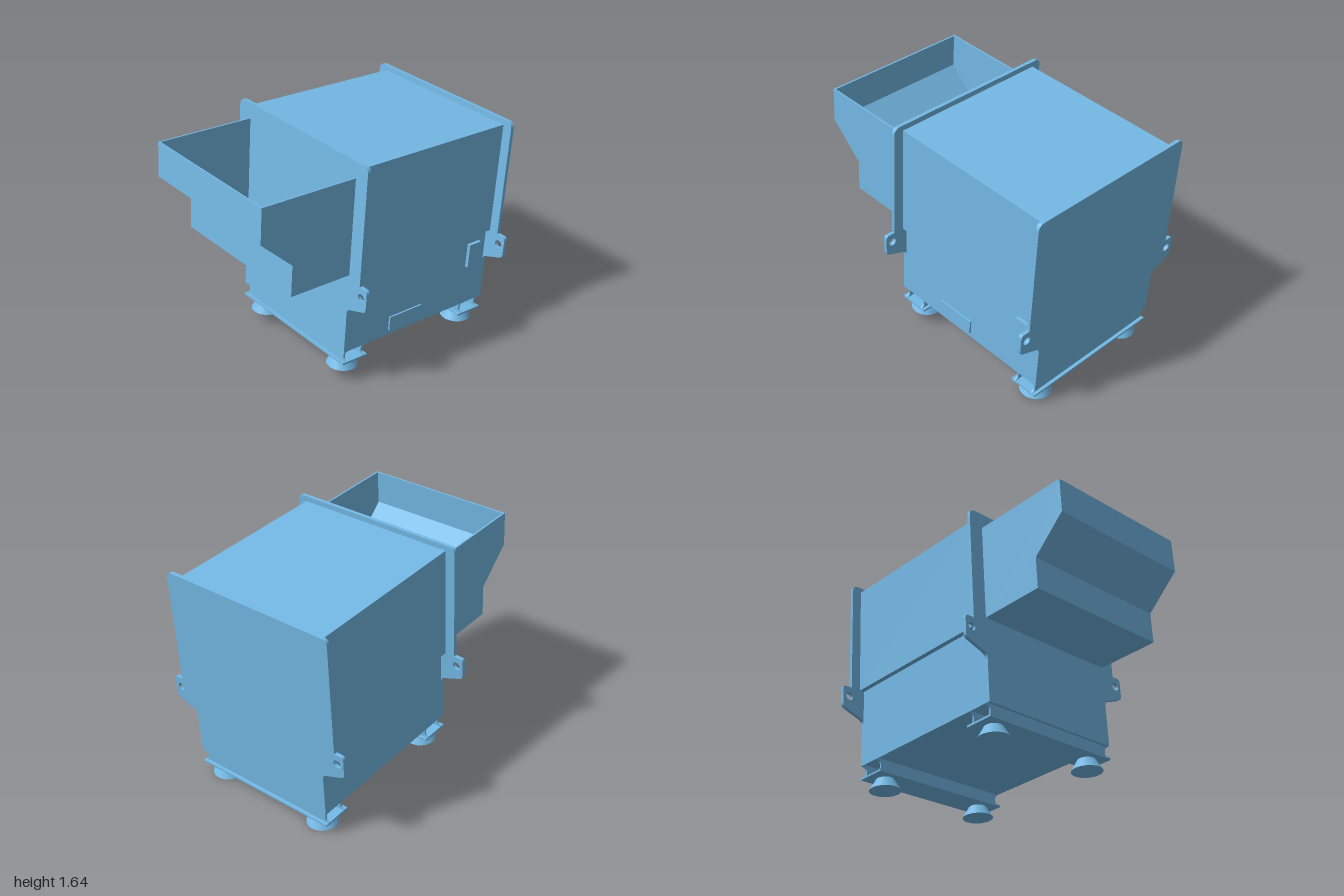
import * as THREE from 'three';

const material = new THREE.MeshStandardMaterial({ color: 0x74b9e6 });

function add(parent, name, geometry, x = 0, y = 0, z = 0) {
  const mesh = new THREE.Mesh(geometry, material);
  mesh.name = name;
  mesh.position.set(x, y, z);
  parent.add(mesh);
  return mesh;
}

// Box given by its limits on each axis
function block(parent, name, [x0, x1], [y0, y1], [z0, z1]) {
  return add(parent, name, new THREE.BoxGeometry(x1 - x0, y1 - y0, z1 - z0),
    (x0 + x1) / 2, (y0 + y1) / 2, (z0 + z1) / 2);
}

// Closed outline through corners [x, y, radius]
function roundedShape(corners) {
  const shape = new THREE.Shape();
  const n = corners.length;
  corners.forEach(([x, y, r = 0], i) => {
    const p = new THREE.Vector2(x, y);
    const toward = (c) => new THREE.Vector2(c[0], c[1]).sub(p).setLength(r).add(p);
    const a = toward(corners[(i + n - 1) % n]);
    const b = toward(corners[(i + 1) % n]);
    if (i === 0) shape.moveTo(a.x, a.y);
    else shape.lineTo(a.x, a.y);
    if (r > 0) shape.quadraticCurveTo(x, y, b.x, b.y);
  });
  shape.closePath();
  return shape;
}

// Right half of an outline, from bottom to top, completed by its mirror image
const mirrored = (half) => [...half, ...half.map(([x, y, r]) => [-x, y, r]).reverse()];

const extrude = (shape, depth) =>
  new THREE.ExtrudeGeometry(shape, { depth, bevelEnabled: false, curveSegments: 8 });

// Profile in (z, y), extruded along x and centred on x
function sideProfile(points, width, x = 0) {
  const shape = new THREE.Shape(points.map(([z, y]) => new THREE.Vector2(z, y)));
  return extrude(shape, width).translate(0, 0, -width / 2).rotateY(-Math.PI / 2).translate(x, 0, 0);
}

export function createModel() {
  const model = new THREE.Group();
  model.name = 'tiltedHopperMachine';
  const machine = new THREE.Group();
  machine.name = 'machine';
  machine.rotation.x = -THREE.MathUtils.degToRad(4); // whole machine leans back
  model.add(machine);

  // Housing: a wide upper part on a narrower base
  block(machine, 'upperHousing', [-0.58, 0.58], [0.795, 1.584], [-0.87, 0.37]);
  block(machine, 'lowerHousing', [-0.545, 0.545], [0.243, 0.795], [-0.87, 0.37]);

  // End plates with lifting ears
  const plate = roundedShape(mirrored([
    [0.545, 0.243], [0.545, 0.575, 0.03], [0.72, 0.64, 0.025],
    [0.72, 0.795, 0.025], [0.65, 0.795], [0.65, 1.622, 0.05],
  ]));
  for (const side of [-1, 1]) {
    plate.holes.push(new THREE.Path().absarc(side * 0.668, 0.725, 0.028, 0, Math.PI * 2, true));
  }
  const plateGeometry = extrude(plate, 0.025);
  add(machine, 'frontPlate', plateGeometry, 0, 0, 0.359);
  add(machine, 'backPlate', plateGeometry, 0, 0, -0.885);

  // Open hopper: two cheeks and one folded sheet
  const t = 0.012;
  const hopper = new THREE.Group();
  hopper.name = 'hopper';
  machine.add(hopper);
  const outer = [[0.384, 0.832], [0.848, 0.832], [0.848, 1.053], [1.093, 1.268], [1.093, 1.512]];
  const inner = [[1.093 - t, 1.512], [1.093 - t, 1.268 + t / 2], [0.848 - t, 1.053 + t / 2],
    [0.848 - t, 0.832 + t], [0.384, 0.832 + t]];
  for (const side of [-1, 1]) {
    add(hopper, 'hopperCheek', sideProfile([...outer, [0.384, 1.512]], t, side * (0.545 - t / 2)));
  }
  add(hopper, 'hopperSheet', sideProfile([...outer, ...inner], 1.09 - 2 * t));

  // Cross channels: two webs with scooped ends above a flange, and two feet each
  const web = extrude(roundedShape(mirrored([
    [0.545, 0.157], [0.52, 0.175, 0.012], [0.52, 0.215, 0.015], [0.545, 0.243],
  ])), 0.014);
  const foot = new THREE.CylinderGeometry(0.062, 0.108, 0.08, 40);
  for (const z of [0.281, -0.781]) {
    const channel = new THREE.Group();
    channel.name = z > 0 ? 'frontChannel' : 'backChannel';
    channel.position.z = z;
    machine.add(channel);
    for (const dz of [-0.075, 0.075]) add(channel, 'channelWeb', web, 0, 0, dz - 0.007);
    block(channel, 'channelFlange', [-0.545, 0.545], [0.143, 0.157], [-0.105, 0.105]);
    for (const x of [-0.42, 0.42]) add(channel, 'foot', foot, x, 0.103, 0);
  }

  // Panels on one flank
  block(machine, 'lowerPanel', [0.54, 0.557], [0.279, 0.383], [-0.285, 0.0]);
  block(machine, 'controlPanel', [0.54, 0.57], [0.545, 0.721], [-0.796, -0.69]);

  return model;
}
